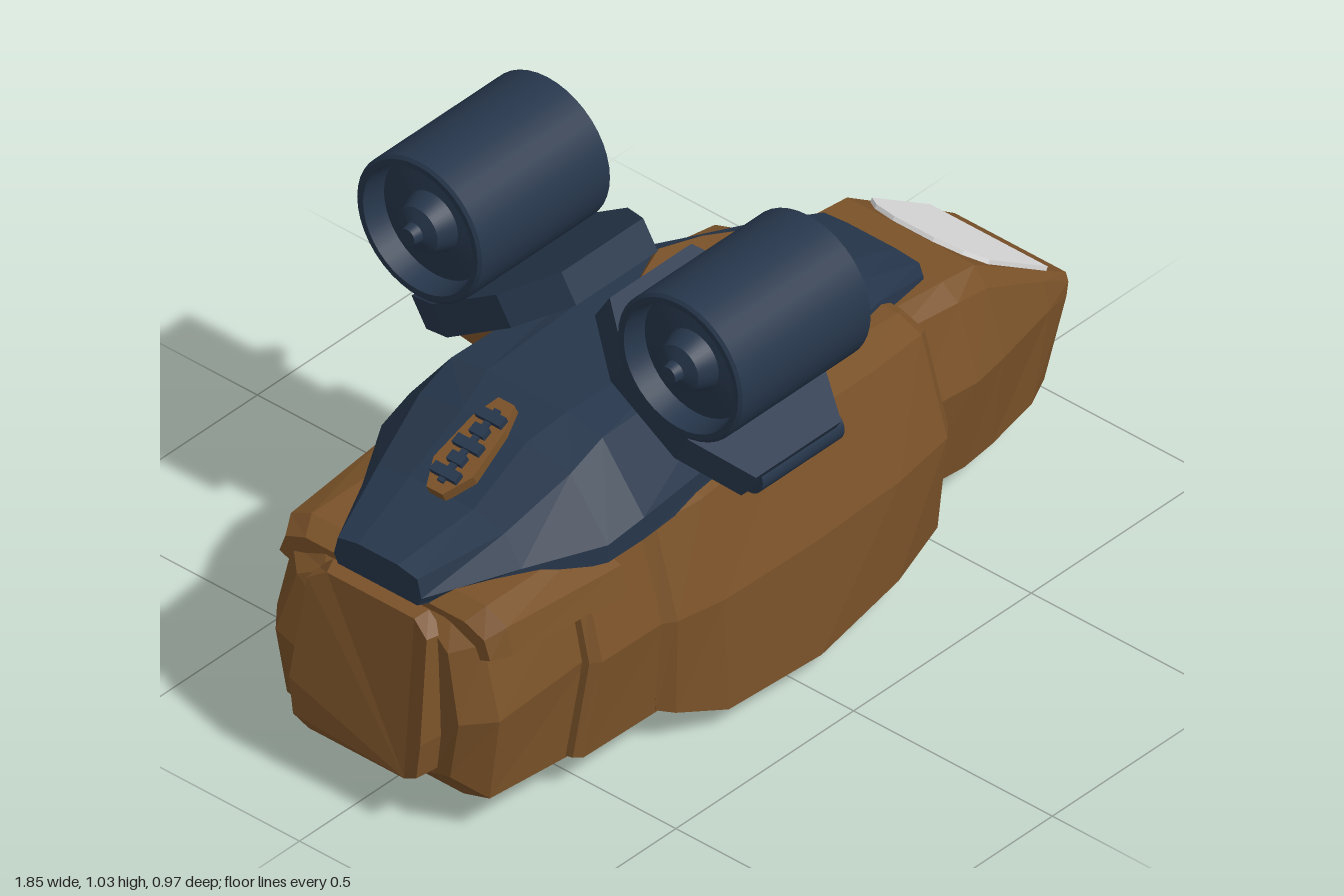
import * as THREE from 'three';

const mat = (name, color) => {
  const m = new THREE.MeshStandardMaterial({ color });
  m.name = name;
  return m;
};

// Faceted body from mirrored half profiles: [x, [z, y, xOffset], ...] from bottom to top
function loft(sections) {
  const rings = sections.map(([x, ...half]) => {
    const side = half.map(([z, y, dx = 0]) => [x + dx, y, z]);
    return [...side, ...side.map(([a, b, c]) => [a, b, -c]).reverse()];
  });
  const pos = [];
  const tri = (...p) => p.forEach((v) => pos.push(...v));
  const n = rings[0].length;
  for (let i = 0; i < rings.length - 1; i++) {
    for (let j = 0; j < n; j++) {
      const k = (j + 1) % n;
      const a = rings[i][j], b = rings[i][k], c = rings[i + 1][j], d = rings[i + 1][k];
      tri(a, c, d);
      tri(a, d, b);
    }
  }
  const first = rings[0], last = rings[rings.length - 1];
  for (let j = 1; j < n - 1; j++) {
    tri(first[0], first[j], first[j + 1]);
    tri(last[0], last[j + 1], last[j]);
  }
  const g = new THREE.BufferGeometry();
  g.setAttribute('position', new THREE.Float32BufferAttribute(pos, 3));
  g.computeVertexNormals();
  return g;
}

const polygon = (pts) => new THREE.Shape(pts.map(([x, y]) => new THREE.Vector2(x, y)));

function slab(shape, depth) {
  const g = new THREE.ExtrudeGeometry(shape, { depth, bevelEnabled: false });
  return g.translate(0, 0, -depth / 2);
}

// Places a geometry drawn in u, v, w on new axes around an origin
function orient(g, u, v, origin) {
  const U = new THREE.Vector3(...u).normalize(), V = new THREE.Vector3(...v).normalize();
  const m = new THREE.Matrix4().makeBasis(U, V, new THREE.Vector3().crossVectors(U, V));
  return g.applyMatrix4(m.setPosition(...origin));
}

export function createModel() {
  const brown = mat('brown hull', 0x7a5229);
  const navy = mat('dark navy', 0x26364b);
  const pale = mat('pale window', 0xdedede);
  const model = new THREE.Group();
  model.name = 'hoverShip';
  const add = (name, geo, material, parent = model) => {
    const m = new THREE.Mesh(geo, material);
    m.name = name;
    parent.add(m);
    return m;
  };
  const box = (name, material, x0, x1, y0, y1, z0, z1, parent) => {
    const g = new THREE.BoxGeometry(x1 - x0, y1 - y0, z1 - z0);
    return add(name, g.translate((x0 + x1) / 2, (y0 + y1) / 2, (z0 + z1) / 2), material, parent);
  };

  // Hull in four armoured segments
  add('nose', loft([
    [0.47, [0.17, 0.08], [0.205, 0.09], [0.235, 0.3], [0.19, 0.47], [0.16, 0.505]],
    [0.63, [0.17, 0.07], [0.215, 0.085], [0.25, 0.3], [0.2, 0.46], [0.16, 0.49]],
    [0.72, [0.165, 0.07], [0.205, 0.085], [0.235, 0.3], [0.19, 0.44], [0.16, 0.48]],
    [0.91, [0.155, 0.08, -0.05], [0.18, 0.09, -0.05], [0.18, 0.28], [0.165, 0.34], [0.15, 0.358]],
    [1.0, [0.14, 0.09, -0.08], [0.155, 0.1, -0.078], [0.155, 0.26, -0.015], [0.15, 0.285, -0.004], [0.14, 0.3]],
  ]), brown);
  add('midHull', loft([
    [-0.34, [0.24, 0.085], [0.305, 0.095], [0.315, 0.3], [0.27, 0.48], [0.2, 0.5]],
    [-0.31, [0.25, 0.075], [0.33, 0.085], [0.335, 0.3], [0.28, 0.495], [0.2, 0.52]],
    [-0.2, [0.28, 0.045], [0.365, 0.05], [0.355, 0.3], [0.3, 0.51], [0.2, 0.54]],
    [0.05, [0.28, 0.04], [0.375, 0.045], [0.36, 0.3], [0.29, 0.53], [0.2, 0.55]],
    [0.3, [0.25, 0.055], [0.345, 0.065], [0.35, 0.3], [0.28, 0.52], [0.2, 0.54]],
    [0.46, [0.22, 0.07], [0.3, 0.08], [0.325, 0.3], [0.26, 0.51], [0.2, 0.53]],
    [0.49, [0.2, 0.09], [0.25, 0.1], [0.3, 0.3], [0.24, 0.495], [0.18, 0.515]],
  ]), brown);
  add('rearCollar', loft([
    [-0.52, [0.2, 0.075, -0.03], [0.285, 0.09, -0.03], [0.3, 0.3], [0.26, 0.47], [0.16, 0.495]],
    [-0.5, [0.21, 0.065, -0.03], [0.295, 0.085, -0.03], [0.315, 0.3], [0.27, 0.475], [0.16, 0.5]],
    [-0.32, [0.22, 0.075], [0.305, 0.09], [0.318, 0.3], [0.27, 0.48], [0.16, 0.5]],
  ]), brown);
  add('rearHull', loft([
    [-0.81, [0.15, 0.12, 0.02], [0.2, 0.14, 0.01], [0.23, 0.28], [0.19, 0.42, 0.015], [0.13, 0.45, 0.03]],
    [-0.75, [0.19, 0.07], [0.255, 0.09], [0.28, 0.28], [0.24, 0.44], [0.16, 0.475]],
    [-0.5, [0.21, 0.065], [0.27, 0.08], [0.285, 0.3], [0.25, 0.46], [0.16, 0.49]],
  ]), brown);
  add('tailPlate', loft([
    [-0.845, [0.12, 0.12, 0.005], [0.155, 0.14], [0.165, 0.22], [0.15, 0.44, 0.035], [0.11, 0.465, 0.045]],
    [-0.77, [0.13, 0.12], [0.165, 0.14], [0.175, 0.22], [0.16, 0.44], [0.12, 0.475]],
  ]), brown);
  add('rearShoulder', loft([
    [-0.76, [0.24, 0.41], [0.265, 0.42], [0.25, 0.46], [0.2, 0.48]],
    [-0.72, [0.25, 0.41], [0.285, 0.42], [0.272, 0.48], [0.22, 0.505]],
    [-0.43, [0.25, 0.42], [0.315, 0.42], [0.3, 0.48], [0.22, 0.505]],
  ]), brown);

  // Dark upper deck and its brown spine
  add('upperDeck', loft([
    [-0.78, [0.1, 0.48], [0.11, 0.5], [0.1, 0.54], [0.05, 0.55]],
    [-0.6, [0.2, 0.48], [0.2, 0.515], [0.16, 0.58], [0.08, 0.595]],
    [-0.45, [0.285, 0.49], [0.285, 0.53], [0.19, 0.65], [0.08, 0.67]],
    [-0.36, [0.295, 0.5], [0.295, 0.55], [0.19, 0.685], [0.1, 0.7]],
    [0.1, [0.265, 0.5], [0.26, 0.56], [0.18, 0.685], [0.12, 0.705]],
    [0.25, [0.215, 0.5], [0.21, 0.55], [0.155, 0.645], [0.09, 0.67]],
    [0.45, [0.165, 0.49], [0.16, 0.54], [0.135, 0.585], [0.08, 0.598]],
    [0.61, [0.13, 0.48], [0.13, 0.5], [0.12, 0.525], [0.06, 0.53]],
  ]), navy);
  add('spineFairing', loft([
    [0.0, [0.05, 0.67], [0.06, 0.7], [0.05, 0.72]],
    [0.1, [0.09, 0.66], [0.095, 0.72], [0.08, 0.74]],
    [0.2, [0.085, 0.64], [0.085, 0.7], [0.06, 0.725]],
    [0.31, [0.05, 0.6], [0.055, 0.665], [0.04, 0.69]],
    [0.41, [0.045, 0.57], [0.05, 0.62], [0.035, 0.637]],
    [0.435, [0.04, 0.57], [0.045, 0.595], [0.03, 0.605]],
  ]), brown);

  // Windscreen lying on the nose slope
  const screen = polygon([[-0.148, -0.125], [0.148, -0.125], [0.148, 0.07], [0.11, 0.105],
    [0.05, 0.125], [-0.05, 0.125], [-0.11, 0.105], [-0.148, 0.07]]);
  add('windscreen', orient(slab(screen, 0.009), [0, 0, -1], [-0.841, 0.541, 0], [0.833, 0.413, 0]), pale);

  // Small equipment hatch on the rear slope of the deck
  const hatch = new THREE.Group();
  hatch.name = 'rearHatch';
  hatch.position.set(-0.515, 0.645, 0);
  hatch.rotation.z = 0.44;
  model.add(hatch);
  const plate = polygon([[-0.11, -0.02], [-0.05, -0.05], [0.06, -0.04], [0.115, -0.02],
    [0.115, 0.02], [0.06, 0.04], [-0.05, 0.05], [-0.11, 0.02]]);
  add('hatchPlate', slab(plate, 0.03).rotateX(-Math.PI / 2), brown, hatch);
  for (let i = 0; i < 5; i++) {
    const x = -0.07 + i * 0.035, w = i % 2 ? 0.018 : 0.032;
    box('hatchFitting', navy, x - 0.011, x + 0.011, 0, 0.028, -w, w, hatch);
  }
  box('hatchBar', navy, -0.09, 0.09, 0, 0.022, -0.007, 0.007, hatch);

  // Ducted engines on tilted pylons, one per side
  const duct = [[0, -0.33], [0.018, -0.33], [0.022, -0.31], [0.05, -0.3], [0.065, -0.26], [0.13, -0.25],
    [0.138, -0.3], [0.15, -0.3], [0.157, -0.295], [0.157, 0.065], [0.15, 0.07], [0.135, 0.07],
    [0.13, 0.0], [0.068, -0.01], [0.065, 0.02], [0.035, 0.06], [0.012, 0.105], [0, 0.115]];
  // Doubled points keep the duct edges sharp
  const ductPts = duct.flatMap(([r, x]) => [new THREE.Vector2(r, x), new THREE.Vector2(r, x)]).slice(1, -1);
  for (const s of [1, -1]) {
    const unit = new THREE.Group();
    unit.name = s > 0 ? 'leftEngine' : 'rightEngine';
    model.add(unit);
    const engine = add('ductedFan', new THREE.LatheGeometry(ductPts, 40), navy, unit);
    engine.rotation.z = -Math.PI / 2;
    engine.position.set(0, 0.88, s * 0.328);
    const pylon = polygon([[-0.12, -0.23], [0.12, -0.23], [0.185, -0.1], [0.185, 0.09],
      [0.115, 0.21], [-0.115, 0.21], [-0.185, 0.09], [-0.185, -0.1]]);
    add('pylon', orient(slab(pylon, 0.07), [1, 0, 0], [0, 0.532, -0.847 * s],
      [-0.08, 0.715, s * 0.22]), navy, unit);
    const hinge = add('pylonHinge', new THREE.CylinderGeometry(0.036, 0.036, 0.23, 20), navy, unit);
    hinge.rotation.z = Math.PI / 2;
    hinge.position.set(-0.055, 0.587, s * 0.388);
    const strut = polygon([[0.15, 0.52], [0.35, 0.55], [0.37, 0.57], [0.24, 0.64], [0.15, 0.64]]
      .map(([z, y]) => [-z * s, y]));
    add('pylonStrut', orient(slab(strut, 0.21), [0, 0, -1], [0, 1, 0], [-0.055, 0, 0]), brown, unit);
  }

  // Belly frame with slots, rails and ribs
  const frame = polygon([[-0.46, -0.14], [-0.34, -0.18], [0.1, -0.18], [0.2, -0.15], [0.37, -0.12],
    [0.37, 0.12], [0.2, 0.15], [0.1, 0.18], [-0.34, 0.18], [-0.46, 0.14]]);
  for (let i = 0; i < 4; i++) {
    for (const z of [-0.085, 0.085]) {
      const x = -0.32 + i * 0.17;
      frame.holes.push(new THREE.Path([[x, z - 0.02], [x, z + 0.02], [x + 0.08, z + 0.02], [x + 0.08, z - 0.02]]
        .map((p) => new THREE.Vector2(...p))));
    }
  }
  add('bellyFrame', slab(frame, 0.055).rotateX(-Math.PI / 2).translate(0, 0.0475, 0), navy);
  for (const s of [-1, 1]) {
    box('bellySkid', navy, -0.46, -0.3, 0.003, 0.075, s * 0.115 - 0.05, s * 0.115 + 0.05);
    for (let i = 0; i < 4; i++) {
      const x = -0.23 + i * 0.17;
      box('bellyRib', navy, x, x + 0.07, 0.008, 0.03, s * 0.09 - 0.045, s * 0.09 + 0.045);
      box('bellyRail', navy, x - 0.08, x + 0.03, 0.012, 0.03, s * 0.045 - 0.01, s * 0.045 + 0.01);
    }
  }
  return model;
}
